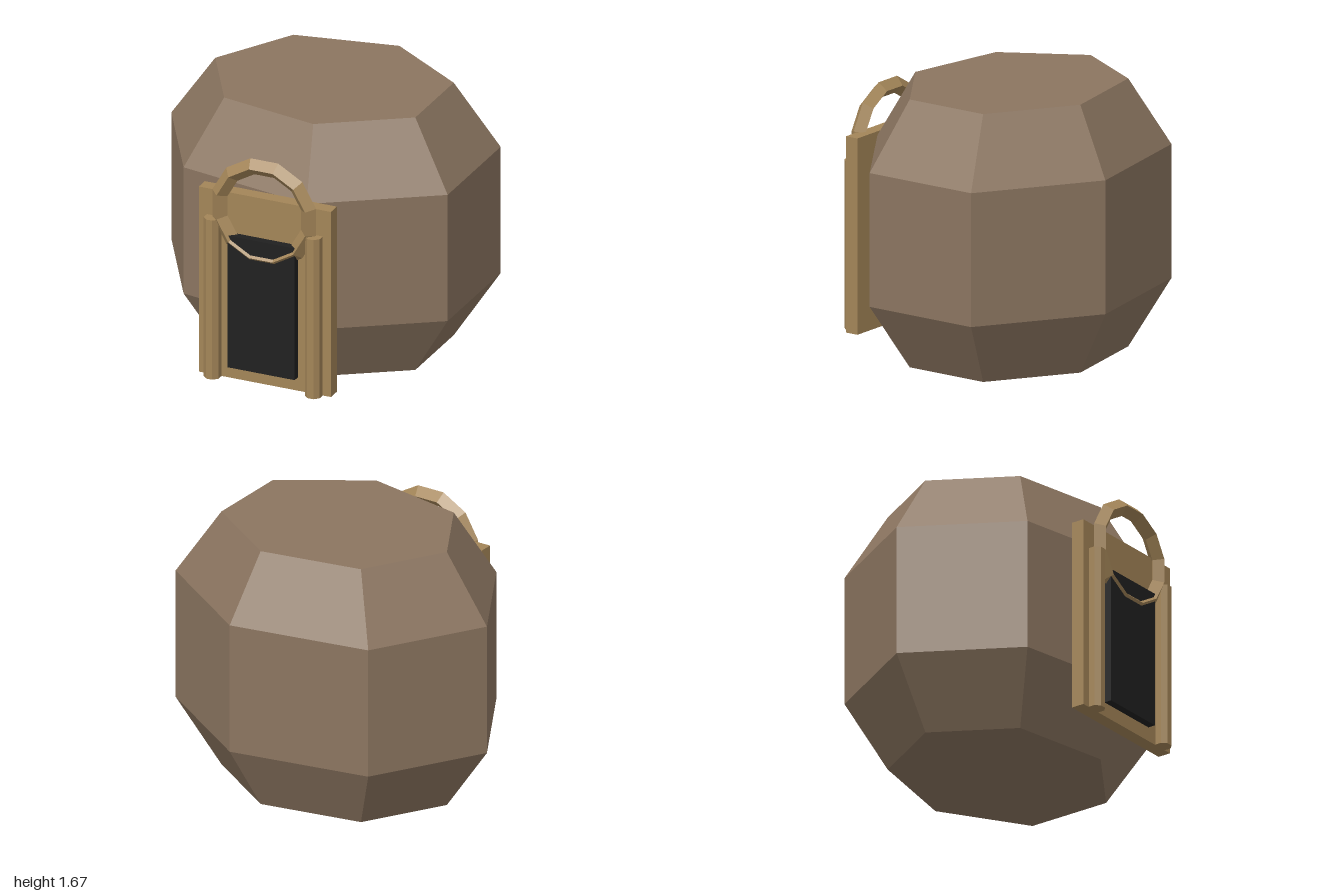
import * as THREE from 'three';

const flat = (color, name) => {
  const m = new THREE.MeshStandardMaterial({ color, flatShading: true });
  m.name = name;
  return m;
};

export function createModel() {
  const model = new THREE.Group();
  model.name = 'boulderHouse';
  const stone = flat(0x8b7560, 'stone');
  const wood = flat(0xa38558, 'wood');
  const dark = flat(0x202020, 'dark');

  const add = (name, geometry, material, x, y, z) => {
    const mesh = new THREE.Mesh(geometry, material);
    mesh.name = name;
    mesh.position.set(x, y, z);
    model.add(mesh);
    return mesh;
  };
  // Box given by its limits along x, y and z
  const addBox = (name, material, [x0, x1], [y0, y1], [z0, z1]) =>
    add(name, new THREE.BoxGeometry(x1 - x0, y1 - y0, z1 - z0), material,
      (x0 + x1) / 2, (y0 + y1) / 2, (z0 + z1) / 2);

  // Seven-sided body with bevelled top and bottom
  const profile = [[0, 0], [0.724, 0], [1, 0.417], [1, 1.25], [0.724, 1.667], [0, 1.667]]
    .map(([r, y]) => new THREE.Vector2(r, y));
  const body = new THREE.LatheGeometry(profile, 7, -Math.PI / 2);
  body.scale(1.052, 1, 0.874);
  add('body', body, stone, 0.052, 0, -0.08);

  // Doorway: backing board and dark door
  addBox('doorBoard', wood, [-0.385, 0.487], [0.05, 1.272], [0.773, 0.858]);
  addBox('door', dark, [-0.173, 0.27], [0.14, 1.01], [0.85, 0.907]);

  // Octagonal posts on both sides of the door
  for (const side of [-1, 1]) {
    const post = new THREE.CylinderGeometry(0.053, 0.053, 1.05, 8);
    post.rotateY(Math.PI / 8);
    add(side < 0 ? 'rightPost' : 'leftPost', post, wood, 0.05 + side * 0.334, 0.575, 0.882);
  }

  // Ring over the door with a diamond cross-section
  const ring = new THREE.TorusGeometry(0.303, 0.052, 4, 12);
  ring.rotateZ(Math.PI / 12);
  add('doorRing', ring, wood, 0.052, 1.187, 0.869);

  return model;
}
